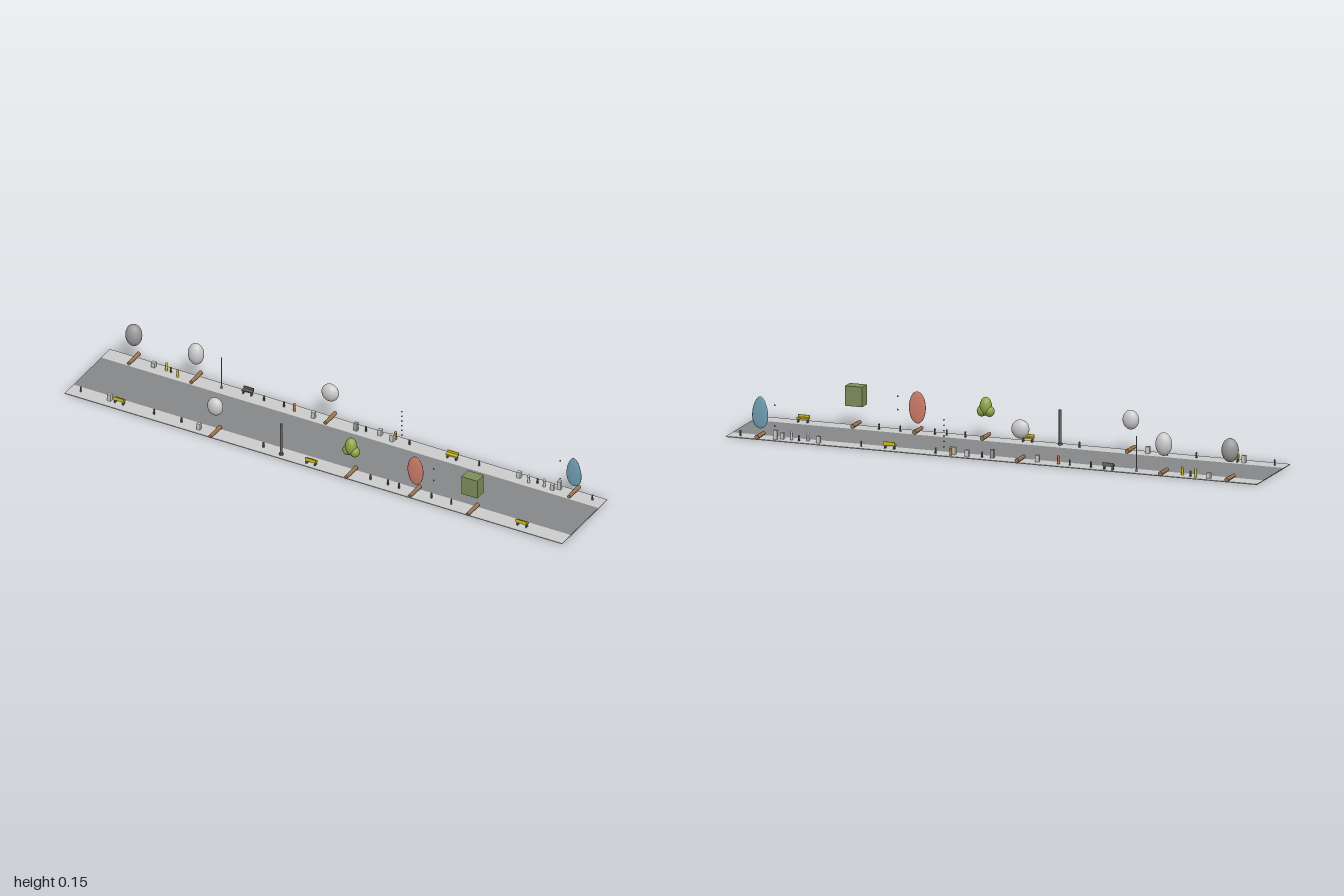
import * as THREE from 'three';

const GREY = 0xcccccc, BARK = 0x9a7650, YELLOW = 0xd2c21c, DARK = 0x666666;
const materials = new Map();
const mat = (color) => {
  if (!materials.has(color)) materials.set(color, new THREE.MeshStandardMaterial({ color }));
  return materials.get(color);
};

export function createModel() {
  const model = new THREE.Group();

  const add = (parent, name, geometry, color, x, y, z) => {
    const mesh = new THREE.Mesh(geometry, mat(color));
    mesh.name = name;
    mesh.position.set(x, y, z);
    parent.add(mesh);
    return mesh;
  };
  const group = (name, x, z) => {
    const g = new THREE.Group();
    g.name = name;
    g.position.set(x, 0, z);
    model.add(g);
    return g;
  };
  const box = (w, h, d) => new THREE.BoxGeometry(w, h, d);
  const ellipsoid = (rx, ry, rz) => new THREE.SphereGeometry(1, 20, 14).scale(rx, ry, rz);

  // Street: dark road with a pavement on each side
  add(model, 'road', box(2, 0.003, 0.2), 0x85878a, 0, 0.0015, 0);
  for (const s of [-1, 1]) add(model, 'pavement', box(2, 0.003, 0.063), 0xc0c0c0, 0, 0.0015, s * 0.1315);

  // Trees: crown above a trunk that lies across the pavement
  const egg = () => {
    const g = ellipsoid(0.031, 0.058, 0.006), p = g.attributes.position;
    for (let i = 0; i < p.count; i++) p.setX(i, p.getX(i) * (1 - 3.5 * p.getY(i) - 0.04));
    g.computeVertexNormals();
    return g;
  };
  const tree = (x, z, color, geometry, y, crownZ = 0) => {
    const g = group('tree', x, z);
    const trunk = add(g, 'trunk', new THREE.CylinderGeometry(0.0065, 0.008, 0.073, 10), BARK, 0, 0.012, 0);
    trunk.rotation.x = Math.PI / 2;
    if (geometry) add(g, 'crown', geometry, color, 0, y, crownZ);
    return g;
  };
  tree(-0.89, -0.138, 0x9a9a9a, ellipsoid(0.031, 0.043, 0.027), 0.111);
  tree(-0.64, -0.138, GREY, ellipsoid(0.03, 0.042, 0.025), 0.111);
  tree(-0.1, -0.138, GREY, ellipsoid(0.033, 0.034, 0.022), 0.119);
  tree(-0.41, 0.136, GREY, ellipsoid(0.03, 0.035, 0.022), 0.118);
  tree(0.88, -0.138, 0x6f9fb5, egg(), 0.094);
  tree(0.39, 0.132, 0xcf7d6a, ellipsoid(0.032, 0.058, 0.006), 0.095, -0.006);
  tree(0.625, 0.136, 0x7d8f5c, box(0.064, 0.072, 0.046), 0.117);
  const lobed = tree(0.135, 0.133, 0x8ea648);
  for (const [x, y, rx, ry, rz] of [
    [0, 0.12, 0.022, 0.034, 0.021],
    [-0.014, 0.103, 0.018, 0.02, 0.018],
    [0.015, 0.102, 0.018, 0.02, 0.018],
  ]) add(lobed, 'crownLobe', ellipsoid(rx, ry, rz), 0x8ea648, x, y, 0);

  // Tall posts
  const post = (x, z, r, color) => {
    const g = group('lampPost', x, z);
    add(g, 'postBase', new THREE.CylinderGeometry(r * 1.6, r * 1.6, 0.008, 10), color, 0, 0.006, 0);
    add(g, 'postShaft', new THREE.CylinderGeometry(r, r, 0.127, 10), color, 0, 0.0665, 0);
  };
  post(-0.535, -0.133, 0.0022, 0x999999);
  post(-0.142, 0.14, 0.005, DARK);

  // Vertical string of little lights, and single floating lamps
  for (let i = 0; i < 6; i++) add(model, 'light', ellipsoid(0.003, 0.003, 0.003), 0x5b9f7c, 0.187, 0.03 + i * 0.0195, -0.14);
  for (const [x, y, z] of [[0.465, 0.128, 0.13], [0.465, 0.08, 0.13], [0.825, 0.125, -0.137], [0.825, 0.05, -0.137]])
    add(model, 'lamp', ellipsoid(0.003, 0.003, 0.003), DARK, x, y, z);

  // Benches: seat, back and legs
  for (const [x, z, w, color] of [
    [-0.8, 0.126, 0.04, YELLOW], [-0.02, 0.142, 0.042, YELLOW], [0.395, -0.13, 0.044, YELLOW],
    [0.822, 0.13, 0.044, YELLOW], [-0.435, -0.144, 0.04, DARK],
  ]) {
    const g = group('bench', x, z), s = Math.sign(z);
    add(g, 'seat', box(w, 0.005, 0.017), color, 0, 0.018, 0);
    add(g, 'backrest', box(w, 0.01, 0.003), color, 0, 0.024, s * 0.007);
    for (const sx of [-1, 1]) add(g, 'benchLeg', box(0.004, 0.014, 0.014), DARK, sx * w * 0.4, 0.0095, 0);
  }

  // Bollards along the pavements
  const bollard = (x, z) => {
    const g = group('bollard', x, z);
    add(g, 'bollardBody', new THREE.CylinderGeometry(0.003, 0.0035, 0.017, 8), DARK, 0, 0.0115, 0);
    add(g, 'bollardCap', ellipsoid(0.0035, 0.003, 0.0035), DARK, 0, 0.021, 0);
  };
  for (const x of [-0.955, -0.66, -0.55, -0.22, 0.21, 0.28, 0.325, 0.455, 0.535]) bollard(x, 0.128);
  for (const x of [-0.74, -0.365, -0.285, 0.045, 0.22, 0.5, 0.735, 0.955]) bollard(x, -0.136);

  // Planters and utility boxes
  for (const [x, z, h, color] of [
    [-0.84, 0.126, 0.026, GREY], [-0.475, 0.136, 0.024, GREY], [-0.16, -0.125, 0.024, GREY],
    [-0.81, -0.138, 0.02, GREY], [0.01, -0.127, 0.03, 0xa0a0a0], [0.1, -0.14, 0.024, GREY],
    [0.155, -0.127, 0.026, GREY], [0.66, -0.138, 0.024, GREY], [0.8, -0.127, 0.022, GREY],
    [0.82, -0.142, 0.033, GREY],
  ]) add(model, 'utilityBox', box(0.014, h, 0.013), color, x, 0.003 + h / 2, z);

  // Hydrants
  for (const [x, z, color] of [
    [-0.705, -0.123, YELLOW], [-0.76, -0.14, YELLOW], [0.705, -0.125, GREY],
    [0.765, -0.129, GREY], [0.16, -0.143, 0xb98a3a], [-0.24, -0.13, 0xc0703c],
  ]) {
    const g = group('hydrant', x, z);
    add(g, 'hydrantBody', new THREE.CylinderGeometry(0.004, 0.005, 0.026, 10), color, 0, 0.016, 0);
    add(g, 'hydrantCap', ellipsoid(0.005, 0.005, 0.005), color, 0, 0.03, 0);
  }
  return model;
}
